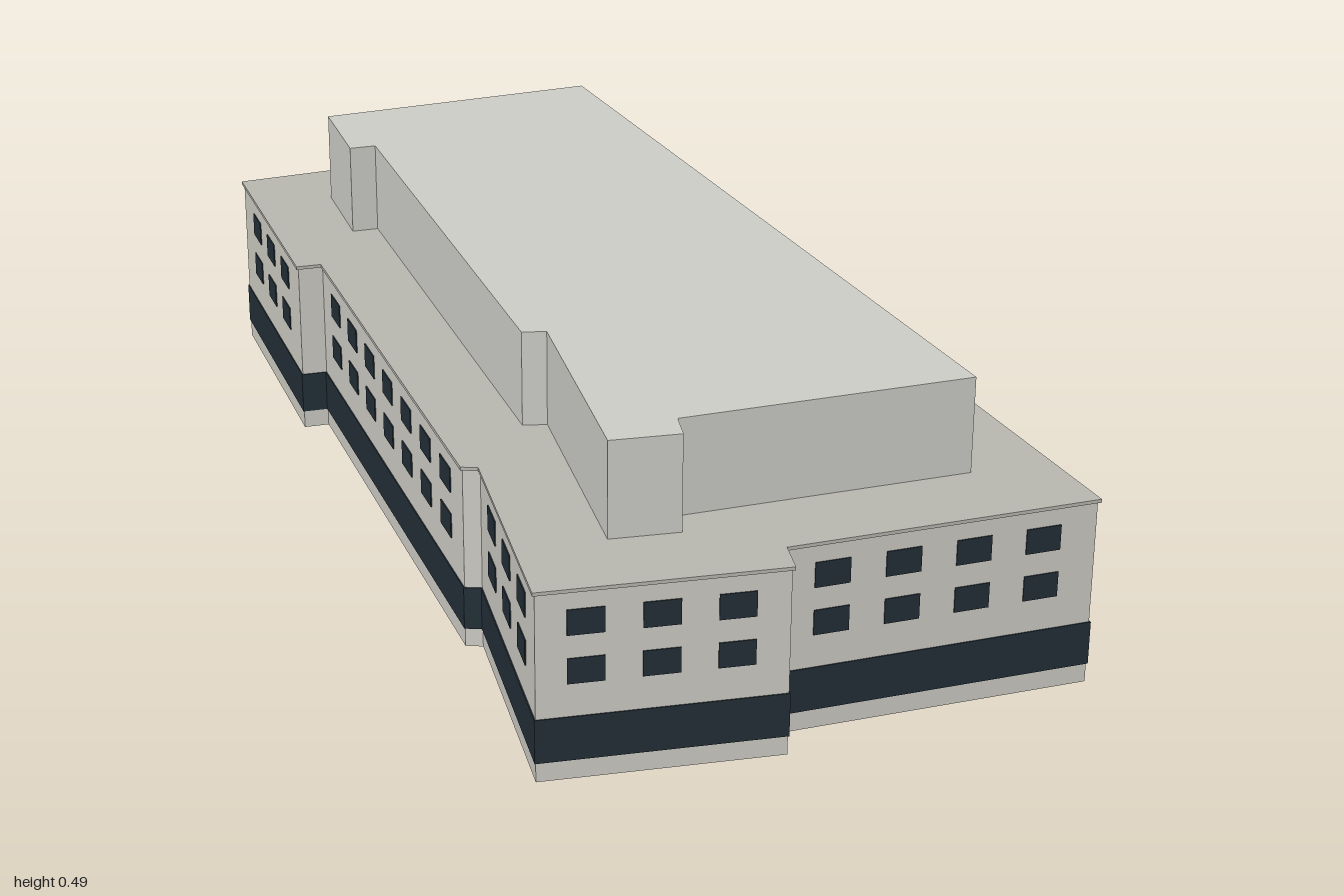
import * as THREE from 'three';

// Ground plan of the main block as [x, z], running round from the left corner
const PLAN = [
  [-1, 0.03], [-0.58, 0.21], [-0.56, 0.17], [0.255, 0.51], [0.275, 0.49],
  [0.645, 0.695], [0.843, 0.35], [0.79, 0.316], [1, -0.16], [-0.715, -0.697],
];

// Ground plan of the set-back upper storey
const UPPER_PLAN = [
  [-0.816, -0.048], [-0.65, 0.027], [-0.63, -0.016], [0.203, 0.337], [0.228, 0.305],
  [0.592, 0.5], [0.65, 0.4], [0.605, 0.37], [0.803, -0.078], [-0.629, -0.525],
];

// Window groups: [wall index, first position, last position (0..1 along wall), count]
const WINDOWS = [
  [0, 0.243, 0.752, 3], [2, 0.104, 0.892, 7], [4, 0.224, 0.776, 3],
  [5, 0.198, 0.79, 3], [7, 0.155, 0.828, 4],
  [8, 0.119, 0.251, 3], [8, 0.355, 0.929, 10],
  [9, 0.11, 0.256, 2], [9, 0.54, 0.54, 1], [9, 0.855, 0.855, 1],
];

function outwardNormal(a, b) {
  return new THREE.Vector2(a[1] - b[1], b[0] - a[0]).normalize();
}

// Shrinks a plan by an equal distance on every wall
function inset(plan, d) {
  const n = plan.length;
  return plan.map((p, i) => {
    const n1 = outwardNormal(plan[(i + n - 1) % n], p);
    const n2 = outwardNormal(p, plan[(i + 1) % n]);
    const k = d / (1 + n1.dot(n2));
    return [p[0] - (n1.x + n2.x) * k, p[1] - (n1.y + n2.y) * k];
  });
}

// Upright block over a plan between two heights
function block(name, plan, y0, y1, material) {
  const shape = new THREE.Shape(plan.map(([x, z]) => new THREE.Vector2(x, -z)));
  const geometry = new THREE.ExtrudeGeometry(shape, { depth: y1 - y0, bevelEnabled: false });
  geometry.rotateX(-Math.PI / 2);
  geometry.translate(0, y0, 0);
  const mesh = new THREE.Mesh(geometry, material);
  mesh.name = name;
  return mesh;
}

export function createModel() {
  const model = new THREE.Group();
  model.name = 'building';
  const paint = (color) => new THREE.MeshStandardMaterial({ color });
  const wallPaint = paint(0xd0cec6);
  const roofPaint = paint(0xbab9b1);
  const upperPaint = paint(0xcfcfca);
  const glass = paint(0x232f38);

  // Main block, dark ground-floor band and thin roof slab
  const walls = inset(PLAN, 0.004);
  model.add(
    block('walls', walls, 0, 0.321, wallPaint),
    block('groundFloorBand', inset(PLAN, 0.002), 0.033, 0.108, glass),
    block('roofSlab', PLAN, 0.319, 0.325, roofPaint),
    block('upperStorey', UPPER_PLAN, 0.325, 0.49, upperPaint),
  );

  // Two rows of windows along the walls
  const windows = new THREE.Group();
  windows.name = 'windows';
  const pane = new THREE.BoxGeometry(0.058, 0.043, 0.004);
  for (const [wall, first, last, count] of WINDOWS) {
    const a = walls[wall];
    const b = walls[(wall + 1) % walls.length];
    const normal = outwardNormal(a, b);
    for (let i = 0; i < count; i++) {
      const t = count > 1 ? first + ((last - first) * i) / (count - 1) : first;
      for (const y of [0.186, 0.268]) {
        const mesh = new THREE.Mesh(pane, glass);
        mesh.name = 'window';
        mesh.position.set(a[0] + (b[0] - a[0]) * t, y, a[1] + (b[1] - a[1]) * t);
        mesh.rotation.y = Math.atan2(normal.x, normal.y);
        windows.add(mesh);
      }
    }
  }
  model.add(windows);
  return model;
}
